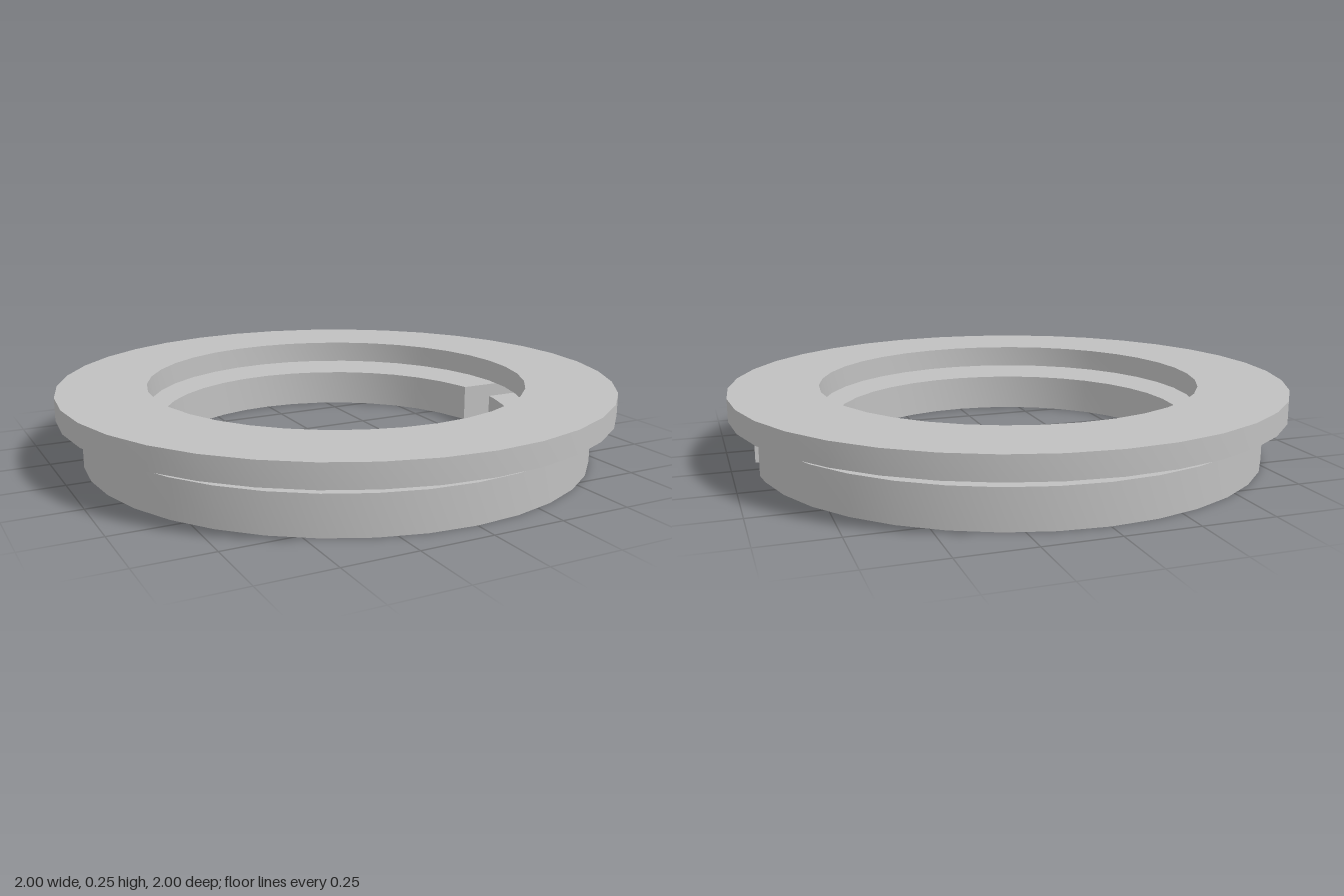
import * as THREE from 'three';
import { toCreasedNormals } from 'three/addons/utils/BufferGeometryUtils.js';

const SEGMENTS = 36;

// Points along an arc of 10 degree steps, with exact end angles
function arcPoints(radius, start) {
  const step = (Math.PI * 2) / SEGMENTS;
  const angles = [start];
  for (let i = 1; i < SEGMENTS; i++) angles.push(i * step);
  if (start > 0) angles.push(Math.PI * 2 - start);
  return angles.map((a) => new THREE.Vector2(radius * Math.cos(a), radius * Math.sin(a)));
}

// Flat plate lying on the ground plane, raised to y, with crisp rims and smooth walls
function plate(name, shape, y, height, material) {
  const extruded = new THREE.ExtrudeGeometry(shape, { depth: height, bevelEnabled: false });
  extruded.rotateX(-Math.PI / 2);
  extruded.translate(0, y, 0);
  const mesh = new THREE.Mesh(toCreasedNormals(extruded, 0.5), material);
  mesh.name = name;
  return mesh;
}

export function createModel() {
  const group = new THREE.Group();
  group.name = 'washerSet';

  const steel = new THREE.MeshStandardMaterial({ color: 0xc0c0c0 });
  steel.name = 'steel grey';

  // Flat washer: closed ring on top
  const washer = new THREE.Shape(arcPoints(1, 0));
  washer.holes.push(new THREE.Path(arcPoints(0.684, 0)));
  group.add(plate('flatWasher', washer, 0.175, 0.08, steel));

  // Split washer: ring with a parallel-sided gap at +x, floating just below
  const outer = 0.916, inner = 0.635, halfGap = 0.083;
  const split = new THREE.Shape([
    ...arcPoints(outer, Math.asin(halfGap / outer)),
    ...arcPoints(inner, Math.asin(halfGap / inner)).reverse(),
  ]);
  group.add(plate('splitWasher', split, 0, 0.135, steel));

  return group;
}
